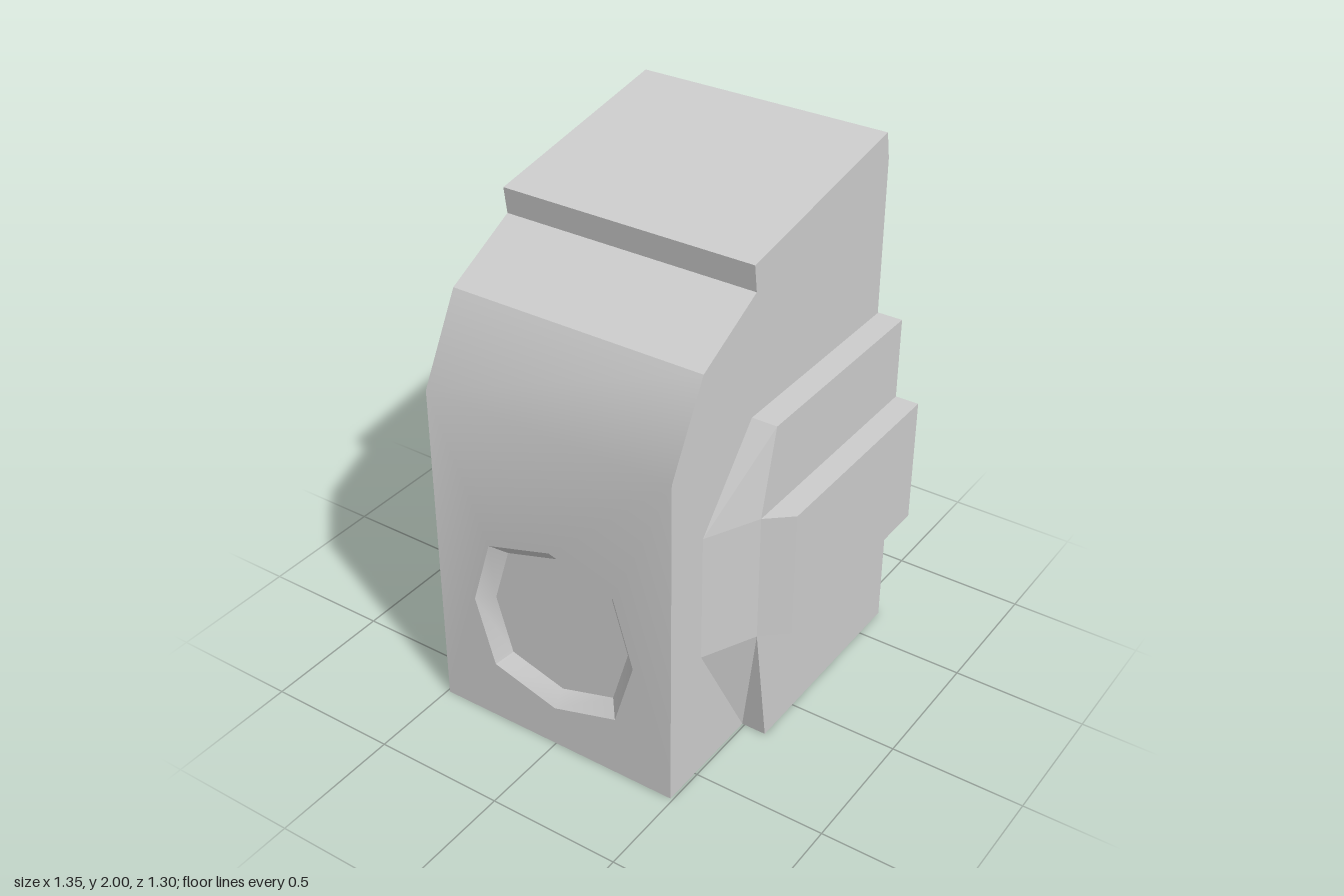
import * as THREE from 'three';
import { mergeGeometries, toCreasedNormals } from 'three/addons/utils/BufferGeometryUtils.js';

const BACK = -0.65, HALF = 0.49, FRONT = 0.65;
const material = () => new THREE.MeshStandardMaterial({ color: 0xcccccc });

// Convex polygons of [x, y, z] corners, counter-clockwise from outside; side -1 mirrors in x
function polygons(list, side = 1) {
  const out = [];
  for (const p of list) {
    for (let i = 1; i < p.length - 1; i++) {
      const tri = side > 0 ? [p[0], p[i], p[i + 1]] : [p[0], p[i + 1], p[i]];
      for (const [x, y, z] of tri) out.push(x * side, y, z);
    }
  }
  const g = new THREE.BufferGeometry();
  g.setAttribute('position', new THREE.Float32BufferAttribute(out, 3));
  g.computeVertexNormals();
  return g;
}

// Flat shape reduced to plain triangles
function flatShape(shape) {
  const g = new THREE.ShapeGeometry(shape).toNonIndexed();
  g.deleteAttribute('uv');
  return g;
}

const toShape = pts => new THREE.Shape(pts.map(([x, y]) => new THREE.Vector2(x, y)));

function bodyGeometry() {
  // Side profile as [z, y], from the front foot over the top to the back foot
  const profile = [[FRONT, 0], [FRONT, 1.3], [0.48, 1.61], [0.185, 1.76], [0.2, 1.86],
    [-0.625, 2], [-0.645, 1.9], [BACK, 0]];
  const faces = [];
  for (let i = 1; i < profile.length; i++) {
    const [za, ya] = profile[i], [zb, yb] = profile[(i + 1) % profile.length];
    faces.push([[-HALF, ya, za], [HALF, ya, za], [HALF, yb, zb], [-HALF, yb, zb]]);
  }

  // Octagonal recess in the front: sloping rim and flat floor
  const ring = (r, d) => Array.from({ length: 8 }, (_, i) => {
    const a = i * Math.PI / 4;
    const k = i % 2 ? 1.09 : 1;
    return [r * k * Math.cos(a), 0.5 + r * k * Math.sin(a), FRONT - d];
  });
  const outer = ring(0.337, 0), inner = ring(0.282, 0.05);
  for (let i = 0; i < 8; i++) {
    const j = (i + 1) % 8;
    faces.push([outer[i], outer[j], inner[j], inner[i]]);
  }
  faces.push(inner);

  // Front panel with the opening
  const panel = toShape([[-HALF, 0], [HALF, 0], [HALF, 1.3], [-HALF, 1.3]]);
  panel.holes.push(new THREE.Path(outer.map(([x, y]) => new THREE.Vector2(x, y))));

  const left = flatShape(toShape(profile.map(([z, y]) => [-z, y])));
  left.rotateY(Math.PI / 2).translate(HALF, 0, 0);
  const right = flatShape(toShape(profile));
  right.rotateY(-Math.PI / 2).translate(-HALF, 0, 0);

  const merged = mergeGeometries([polygons(faces), flatShape(panel).translate(0, 0, FRONT), left, right]);
  return toCreasedNormals(merged, THREE.MathUtils.degToRad(31));
}

function sidePanel(side) {
  const group = new THREE.Group();
  const a = HALF, b = 0.585, c = 0.675;
  const low = 0.5, high = 0.99, top = 1.305;
  const rim = 0.19, mid = 0.27, nose = 0.47;

  // Wide panel with a faceted nose
  const panel = polygons([
    [[b, top, BACK], [b, top, rim], [b, high, mid], [b, low, mid], [b, 0, rim], [b, 0, BACK]],
    [[a, top, rim], [b, top, rim], [b, top, BACK], [a, top, BACK]],
    [[a, 0, BACK], [b, 0, BACK], [b, 0, rim], [a, 0, rim]],
    [[b, 0, BACK], [a, 0, BACK], [a, top, BACK], [b, top, BACK]],
    [[a, high, nose], [b, top, rim], [a, top, rim]],
    [[a, high, nose], [b, high, mid], [b, top, rim]],
    [[a, low, nose], [b, low, mid], [b, high, mid], [a, high, nose]],
    [[a, 0, rim], [b, 0, rim], [b, low, mid]],
    [[a, 0, rim], [b, low, mid], [a, low, nose]],
  ], side);

  // Raised band with a chamfered front end
  const outline = [[b, mid], [c, rim], [c, BACK], [b, BACK]];
  const at = y => outline.map(([x, z]) => [x, y, z]);
  const lower = at(low), upper = at(high);
  const walls = [0, 1, 2].map(i => [lower[i], lower[i + 1], upper[i + 1], upper[i]]);
  const band = polygons([upper, [...lower].reverse(), ...walls], side);

  for (const [name, geometry] of [['panel', panel], ['band', band]]) {
    const mesh = new THREE.Mesh(geometry, material());
    mesh.name = name;
    group.add(mesh);
  }
  group.name = side > 0 ? 'leftSidePanel' : 'rightSidePanel';
  return group;
}

export function createModel() {
  const model = new THREE.Group();
  model.name = 'housing';
  const body = new THREE.Mesh(bodyGeometry(), material());
  body.name = 'body';
  model.add(body, sidePanel(1), sidePanel(-1));
  return model;
}
